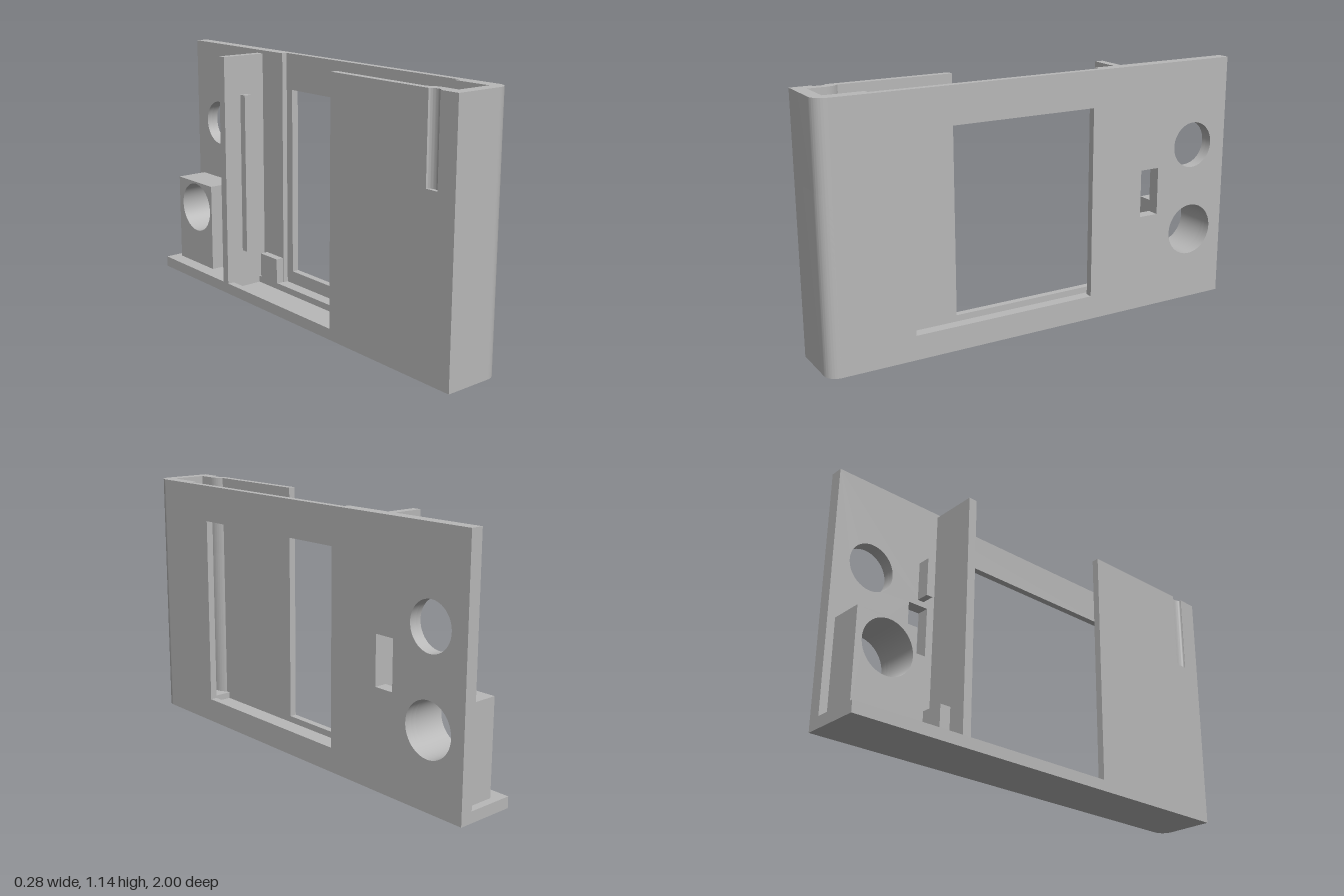
import * as THREE from 'three';
import { toCreasedNormals } from 'three/addons/utils/BufferGeometryUtils.js';

const H = 1.145, BACK = -0.1375, FRONT = 0.1375;
const INNER = 0.08, RECESS = 0.105, WALL = -0.105, FLOOR = 0.05, END = 0.945;

export function createModel() {
  const group = new THREE.Group();
  const grey = new THREE.MeshStandardMaterial({ color: 0xb8b8b8 });
  grey.name = 'grey plastic';

  const add = (name, geometry) => {
    const mesh = new THREE.Mesh(toCreasedNormals(geometry, 0.5), grey);
    mesh.name = name;
    group.add(mesh);
  };
  // Box given by its limits on each axis
  const box = (name, x0, x1, y0, y1, z0, z1) => {
    const g = new THREE.BoxGeometry(x1 - x0, y1 - y0, z1 - z0);
    add(name, g.translate((x0 + x1) / 2, (y0 + y1) / 2, (z0 + z1) / 2));
  };
  // Rectangle and circle outlines in the z-y plane
  const rect = (z0, z1, y0, y1, Type = THREE.Path) => new Type([
    [-z1, y0], [-z0, y0], [-z0, y1], [-z1, y1],
  ].map(p => new THREE.Vector2(...p)));
  const circle = (z, y, r) => new THREE.Path().absarc(-z, y, r, 0, Math.PI * 2);
  // Upright panel with openings, extruded along x
  const panel = (name, x0, x1, y0, y1, z0, z1, holes) => {
    const shape = rect(z0, z1, y0, y1, THREE.Shape);
    shape.holes.push(...holes);
    const g = new THREE.ExtrudeGeometry(shape, { depth: x1 - x0, bevelEnabled: false, curveSegments: 32 });
    add(name, g.rotateY(Math.PI / 2).translate(x0, 0, 0));
  };
  // Plan outline (x, -z) extruded upward
  const prism = (name, shape, y0, y1) => {
    const g = new THREE.ExtrudeGeometry(shape, { depth: y1 - y0, bevelEnabled: false, curveSegments: 12 });
    add(name, g.rotateX(-Math.PI / 2).translate(0, y0, 0));
  };

  // Front plate: a thin skin, thickened on both sides of the window recess
  const lowerHole = () => circle(-0.815, 0.34, 0.12);
  const sideHoles = () => [
    circle(-0.815, 0.75, 0.106), lowerHole(), rect(-0.62, -0.525, 0.445, 0.665),
  ];
  panel('frontSkin', RECESS, FRONT, 0, H, -1, END, [rect(-0.26, 0.61, 0.11, 0.98), ...sideHoles()]);
  panel('thickFrontPanel', INNER, RECESS, 0, H, -1, -0.3, sideHoles());
  box('windowEndPad', INNER, RECESS, FLOOR, H, 0.77, END);

  // Rounded end wall and rear wall, with a half-round groove in the upper part
  const wall = grooved => {
    const s = new THREE.Shape();
    const r = FRONT - INNER;
    s.moveTo(FRONT, -END);
    s.absellipse(INNER, -END, r, 1 - END, 0, -Math.PI / 2, true);
    s.lineTo(BACK, -1);
    if (grooved) {
      s.lineTo(BACK, -0.91);
      s.absellipse(BACK, -0.88, 0.018, 0.03, -Math.PI / 2, Math.PI / 2, false);
    }
    s.lineTo(BACK, -0.3);
    s.lineTo(WALL, -0.3);
    s.lineTo(WALL, -0.81);
    s.quadraticCurveTo(-0.08, -0.835, -0.08, -0.87);
    s.lineTo(-0.08, -END);
    return s;
  };
  prism('lowerEndAndRearWall', wall(false), 0, 0.77);
  prism('upperEndAndRearWall', wall(true), 0.77, H);

  // Floor with a shallow stepped pocket
  box('floorBase', BACK, RECESS, 0, 0.02, -1, END);
  const rim = new THREE.Shape([
    [BACK, -END], [RECESS, -END], [RECESS, 1], [BACK, 1],
  ].map(p => new THREE.Vector2(...p)));
  rim.holes.push(new THREE.Path([
    [WALL, 0.45], [0.048, 0.45], [0.048, -0.935], [-0.015, -0.935], [-0.015, -0.79], [WALL, -0.79],
  ].map(p => new THREE.Vector2(...p))));
  prism('floorRim', rim, 0.02, FLOOR);

  // Divider and its small supports
  box('divider', BACK, INNER, 0.02, 1.13, -0.49, -0.45);
  box('dividerFoot', -0.055, 0.055, FLOOR, 0.19, -0.54, -0.49);
  box('dividerRail', -0.05, -0.015, 0.2, 0.95, -0.45, -0.415);
  box('cornerStop', 0.043, INNER, FLOOR, 0.17, -0.43, -0.305);
  box('slotTab', 0.02, INNER, 0.69, 0.865, -0.575, -0.545);

  // Block behind the lower round opening
  panel('boredBlock', -0.07, INNER, FLOOR, 0.47, -0.965, -0.68, [lowerHole()]);

  return group;
}
